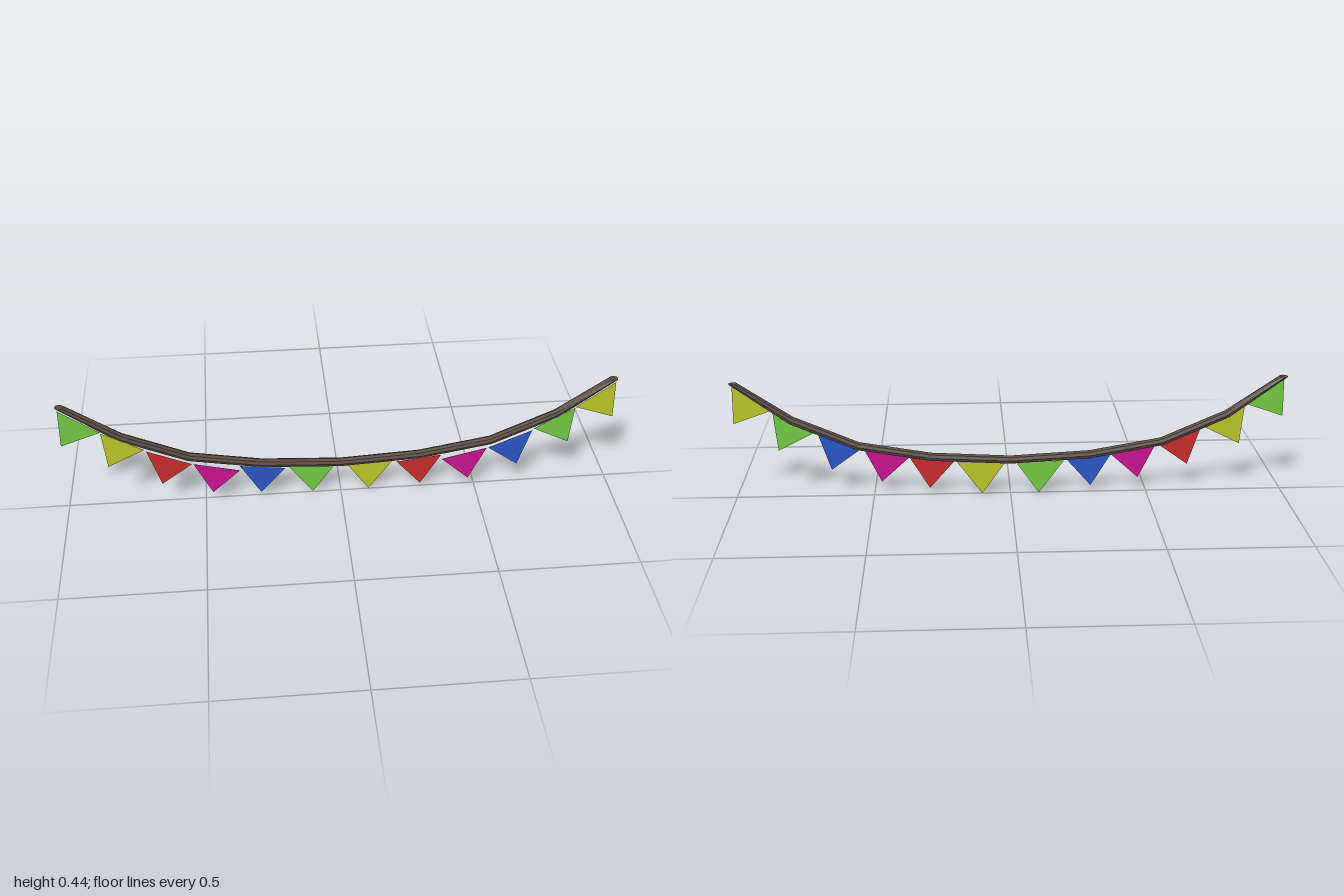
import * as THREE from 'three';

const SIDES = 8, RADIUS = 0.016;

// Sagging rope: octagonal rings mitred at each joint, with level cuts at the ends
function ropeGeometry() {
  const half = [[-0.984, 0.437], [-0.787, 0.296], [-0.552, 0.193], [-0.29, 0.147]];
  const path = [...half, [0, 0.131], ...half.map(([x, y]) => [-x, y]).reverse()]
    .map(([x, y]) => new THREE.Vector2(x, y));
  const last = path.length - 1;
  const positions = [], index = [];
  path.forEach((p, i) => {
    let t;
    if (i === 0) t = new THREE.Vector2(0, -1);
    else if (i === last) t = new THREE.Vector2(0, 1);
    else {
      const before = p.clone().sub(path[i - 1]).normalize();
      t = path[i + 1].clone().sub(p).normalize().add(before).normalize();
    }
    for (let j = 0; j < SIDES; j++) {
      const a = (j / SIDES) * Math.PI * 2, c = Math.cos(a) * RADIUS;
      positions.push(p.x - t.y * c, p.y + t.x * c, Math.sin(a) * RADIUS);
    }
  });
  for (let i = 0; i < last; i++) {
    for (let j = 0; j < SIDES; j++) {
      const k = (j + 1) % SIDES;
      const a = i * SIDES + j, b = i * SIDES + k;
      index.push(a, b, b + SIDES, a, b + SIDES, a + SIDES);
    }
  }
  // End caps
  const end = last * SIDES;
  for (let j = 1; j < SIDES - 1; j++) {
    index.push(0, j + 1, j, end, end + j, end + j + 1);
  }
  const g = new THREE.BufferGeometry();
  g.setAttribute('position', new THREE.Float32BufferAttribute(positions, 3));
  g.setIndex(index);
  g.computeVertexNormals();
  return g;
}

// Flat triangular pennant from its outer, inner and tip corners
function pennantGeometry(corners, side) {
  const pts = corners.map(([x, y]) => new THREE.Vector2(x * side, y));
  return new THREE.ShapeGeometry(new THREE.Shape(pts));
}

export function createModel() {
  const model = new THREE.Group();
  model.name = 'bunting';

  const rope = new THREE.Mesh(ropeGeometry(),
    new THREE.MeshStandardMaterial({ color: 0x5a4c45, flatShading: true }));
  rope.name = 'rope';
  model.add(rope);

  const colours = [0x75cc42, 0xbdc92a, 0xcc2c2e, 0xcc1493, 0x2c57cc];
  const materials = colours.map(color =>
    new THREE.MeshStandardMaterial({ color, side: THREE.DoubleSide }));

  // Pennants of one half, from the end to the middle; each hangs at its own depth
  const pennants = [
    { z: 0.014, corners: [[-0.99, 0.43], [-0.853, 0.33], [-0.995, 0.28]] },
    { z: 0.012, corners: [[-0.853, 0.325], [-0.707, 0.243], [-0.84, 0.176]] },
    { z: 0.022, corners: [[-0.7, 0.243], [-0.541, 0.175], [-0.653, 0.094]] },
    { z: 0.024, corners: [[-0.536, 0.176], [-0.37, 0.136], [-0.472, 0.043]] },
    { z: 0.01, corners: [[-0.37, 0.145], [-0.205, 0.125], [-0.296, 0.02]] },
    { z: -0.003, corners: [[-0.195, 0.125], [-0.019, 0.122], [-0.104, 0]] },
  ];
  for (let i = 0; i < 12; i++) {
    const { z, corners } = pennants[i < 6 ? i : 11 - i];
    const flag = new THREE.Mesh(pennantGeometry(corners, i < 6 ? 1 : -1),
      materials[i % colours.length]);
    flag.position.z = z;
    flag.name = `pennant${i + 1}`;
    model.add(flag);
  }
  return model;
}
